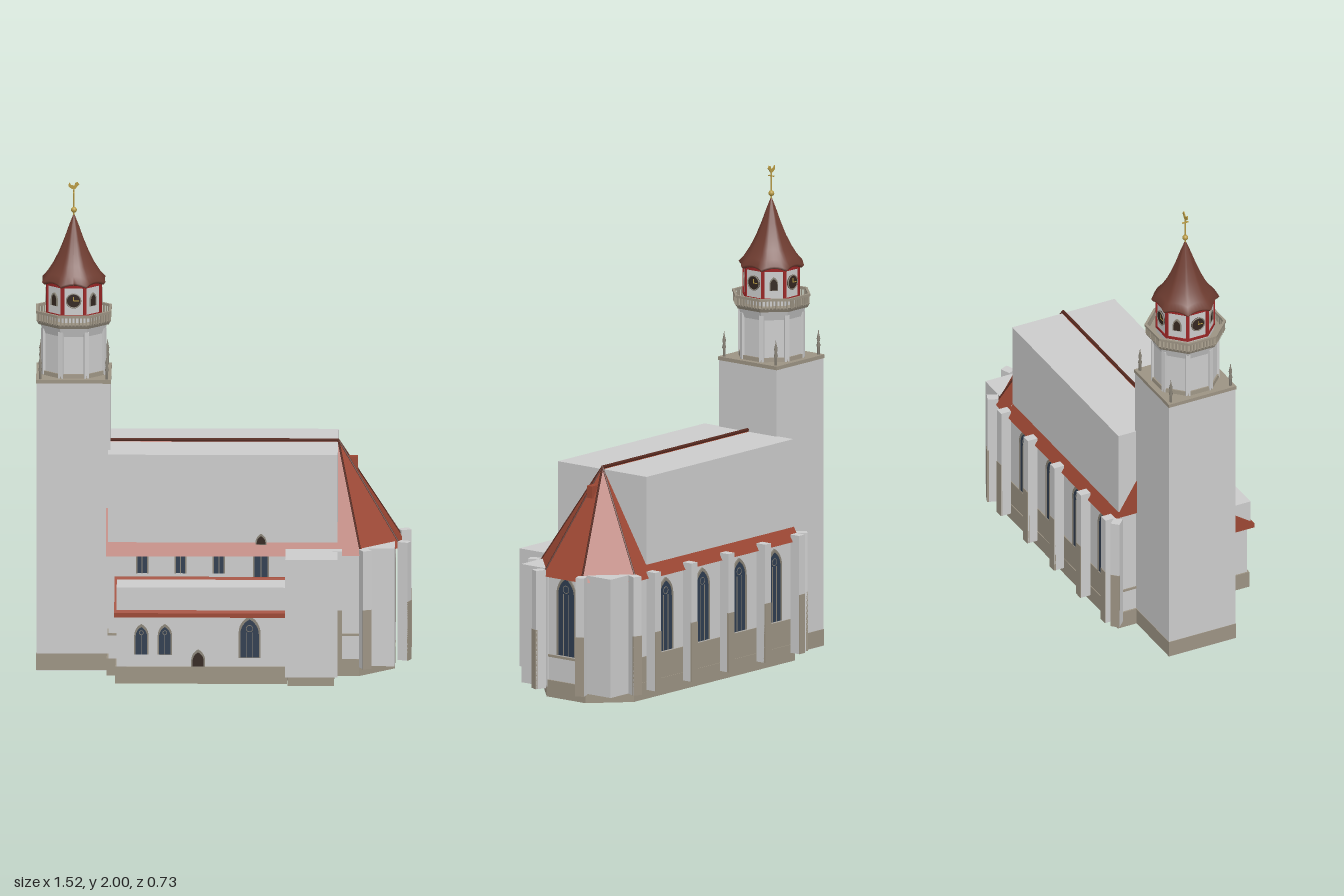
import * as THREE from 'three';

const mat = (color, flat = false) => new THREE.MeshStandardMaterial({ color, flatShading: flat, side: THREE.DoubleSide });
const M = {
  wall: mat(0xcccccc, true), stone: mat(0x9c9383, true), tile: mat(0x9c4733, true), spire: mat(0x6e3c30),
  ridge: mat(0x57291f), glass: mat(0x2f3d50), red: mat(0x9c2626), gold: mat(0xb89b45), dark: mat(0x33261f), timber: mat(0x8a8478),
};
const ZC = -0.07;              // church axis
const TX = -0.607;             // tower axis

function add(parent, name, geometry, material, x = 0, y = 0, z = 0) {
  const m = new THREE.Mesh(geometry, material);
  m.name = name;
  m.position.set(x, y, z);
  parent.add(m);
  return m;
}

// box given by its limits
function box(parent, name, material, x0, x1, y0, y1, z0, z1) {
  return add(parent, name, new THREE.BoxGeometry(x1 - x0, y1 - y0, z1 - z0), material,
    (x0 + x1) / 2, (y0 + y1) / 2, (z0 + z1) / 2);
}

// round bar between two points
function bar(parent, name, material, a, b, r) {
  const d = b.clone().sub(a);
  const m = add(parent, name, new THREE.CylinderGeometry(r, r, d.length(), 6), material);
  m.position.copy(a).addScaledVector(d, 0.5);
  m.quaternion.setFromUnitVectors(new THREE.Vector3(0, 1, 0), d.normalize());
}

// eight-sided prism with a flat side to the front; sizes are across-flats radii
function octagon(parent, name, material, top, bottom, y0, y1) {
  const k = 1 / Math.cos(Math.PI / 8);
  const g = new THREE.CylinderGeometry(top * k, bottom * k, y1 - y0, 8).rotateY(Math.PI / 8);
  add(parent, name, g, material, 0, (y0 + y1) / 2, 0);
}

// horizontal polygon of [x, z] points raised from y0 to y1
function prism(parent, name, material, pts, y0, y1) {
  const s = new THREE.Shape(pts.map(([x, z]) => new THREE.Vector2(x, -z)));
  const g = new THREE.ExtrudeGeometry(s, { depth: y1 - y0, bevelEnabled: false }).rotateX(-Math.PI / 2);
  add(parent, name, g, material, 0, y0, 0);
}

// profile of [z, y] points drawn out along x
function along(parent, name, material, pts, x0, x1) {
  const s = new THREE.Shape(pts.map(([z, y]) => new THREE.Vector2(-z, y)));
  const g = new THREE.ExtrudeGeometry(s, { depth: x1 - x0, bevelEnabled: false }).rotateY(Math.PI / 2);
  add(parent, name, g, material, x0, 0, 0);
}

function arch(w, h, Type = THREE.Shape) {
  const s = new Type(), r = w / 2, spring = h - w * 0.85;
  s.moveTo(-r, 0);
  s.lineTo(r, 0);
  s.lineTo(r, spring);
  s.quadraticCurveTo(r, h - w * 0.3, 0, h);
  s.quadraticCurveTo(-r, h - w * 0.3, -r, spring);
  s.closePath();
  return s;
}

// pointed opening with frame and tracery, facing +z before turning
function gothic(parent, name, x, y, z, w, h, turn, { fill = M.glass, lights = 1 } = {}) {
  const g = new THREE.Group();
  g.name = name;
  add(g, 'pane', new THREE.ShapeGeometry(arch(w, h)), fill, 0, 0, 0.003);
  const t = Math.min(0.007, w * 0.13);
  const outer = arch(w + 2 * t, h + 2 * t);
  outer.holes.push(arch(w, h, THREE.Path));
  add(g, 'surround', new THREE.ExtrudeGeometry(outer, { depth: 0.006, bevelEnabled: false, curveSegments: 6 }), M.timber);
  for (let i = 1; i < lights; i++) {
    const mx = -w / 2 + w * i / lights;
    box(g, 'mullion', M.timber, mx - 0.001, mx + 0.001, 0, h - w * 0.75, 0.002, 0.006);
  }
  if (lights > 1) add(g, 'tracery', new THREE.TorusGeometry(w * 0.18, 0.0015, 4, 14), M.timber, 0, h - w * 0.52, 0.005);
  g.position.set(x, y, z);
  g.rotation.y = turn;
  parent.add(g);
}

// pier whose stone-faced foot points along the turned +z
function buttress(parent, x, z, turn) {
  const g = new THREE.Group();
  g.name = 'buttress';
  box(g, 'buttressShaft', M.wall, -0.0185, 0.0185, 0.04, 0.53, -0.023, 0.022);
  box(g, 'buttressFoot', M.stone, -0.0185, 0.0185, 0.04, 0.285, 0.015, 0.024);
  g.position.set(x, 0, z);
  g.rotation.y = turn;
  parent.add(g);
}

// curved eight-sided spire with slightly drooping eave corners
function spireGeometry() {
  const prof = [[0, 1.585], [0.118, 1.592], [0.126, 1.603], [0.105, 1.627], [0.081, 1.665], [0.059, 1.71], [0.038, 1.763], [0.02, 1.815], [0.003, 1.86]];
  const g = new THREE.LatheGeometry(prof.map(([r, y]) => new THREE.Vector2(r, y)), 48);
  const p = g.attributes.position;
  const step = Math.PI / 4;
  for (let i = 0; i < p.count; i++) {
    const x = p.getX(i), y = p.getY(i), z = p.getZ(i);
    const a = Math.atan2(x, z);
    const k = 1 / Math.cos(a - step * Math.round(a / step)) ** 1.2;
    p.setXYZ(i, x * k, y - Math.hypot(x, z) * (k - 1), z * k);
  }
  g.computeVertexNormals();
  return g;
}

function buildTower() {
  const t = new THREE.Group();
  t.name = 'tower';
  t.position.set(TX, 0, ZC);
  box(t, 'towerPlinth', M.stone, -0.151, 0.151, 0.002, 0.07, -0.153, 0.153);
  box(t, 'towerShaft', M.wall, -0.149, 0.149, 0, 1.195, -0.151, 0.151);
  box(t, 'towerCornice', M.stone, -0.152, 0.152, 1.193, 1.208, -0.154, 0.154);
  octagon(t, 'belfry', M.wall, 0.122, 0.122, 1.2, 1.42);
  octagon(t, 'belfryBase', M.stone, 0.128, 0.13, 1.2, 1.225);
  octagon(t, 'belfryCornice', M.wall, 0.135, 0.122, 1.38, 1.42);
  octagon(t, 'galleryFloor', M.stone, 0.151, 0.142, 1.418, 1.435);
  octagon(t, 'lantern', M.wall, 0.108, 0.108, 1.43, 1.6);
  octagon(t, 'lanternSill', M.red, 0.111, 0.111, 1.455, 1.467);
  octagon(t, 'lanternHead', M.red, 0.112, 0.112, 1.578, 1.592);

  for (let i = 0; i < 8; i++) {
    const side = new THREE.Group();
    side.name = 'octagonSide';
    side.rotation.y = i * Math.PI / 4;
    t.add(side);
    // gallery railing
    box(side, 'handrail', M.stone, -0.064, 0.064, 1.464, 1.474, 0.143, 0.153);
    for (let k = -3.5; k < 4; k++) {
      box(side, 'baluster', M.stone, k * 0.0148 - 0.003, k * 0.0148 + 0.003, 1.43, 1.466, 0.145, 0.151);
    }
    // clocks on the straight sides, small windows on the slanted ones
    if (i % 2 === 0) {
      add(side, 'clockFace', new THREE.CylinderGeometry(0.03, 0.03, 0.006, 24).rotateX(Math.PI / 2), M.dark, 0, 1.527, 0.11);
      add(side, 'clockRim', new THREE.TorusGeometry(0.029, 0.0025, 6, 24), M.timber, 0, 1.527, 0.113);
      box(side, 'hourHand', M.gold, -0.0015, 0.0015, 1.527, 1.544, 0.113, 0.115);
      box(side, 'minuteHand', M.gold, 0, 0.022, 1.5255, 1.5285, 0.113, 0.115);
    } else {
      gothic(side, 'lanternWindow', 0, 1.5, 0.108, 0.028, 0.048, 0, { fill: M.dark });
    }
    // corner posts
    const post = new THREE.Group();
    post.rotation.y = Math.PI / 8;
    post.name = 'octagonCorner';
    side.add(post);
    box(post, 'redPost', M.red, -0.007, 0.007, 1.46, 1.59, 0.108, 0.12);
    box(post, 'pilaster', M.wall, -0.01, 0.01, 1.2, 1.4, 0.122, 0.139);
  }

  // corner pinnacles
  for (const sx of [-1, 1]) for (const sz of [-1, 1]) {
    const p = [[0, 0], [0.006, 0], [0.006, 0.035], [0.009, 0.04], [0.005, 0.055], [0.008, 0.07], [0.003, 0.09], [0, 0.11]];
    add(t, 'pinnacle', new THREE.LatheGeometry(p.map(([r, y]) => new THREE.Vector2(r, y)), 6), M.timber, sx * 0.135, 1.205, sz * 0.136);
  }

  // spire and finial
  add(t, 'spire', spireGeometry(), M.spire);
  add(t, 'finialPole', new THREE.CylinderGeometry(0.003, 0.004, 0.12, 6), M.gold, 0, 1.91, 0);
  add(t, 'finialBall', new THREE.SphereGeometry(0.012, 14, 10), M.gold, 0, 1.88, 0);
  box(t, 'vaneBar', M.gold, -0.003, 0.003, 1.95, 1.954, -0.014, 0.014);
  const vane = new THREE.Shape([[-0.02, 0.028], [-0.022, 0.012], [-0.008, 0], [0.006, 0], [0.014, 0.012], [0.022, 0.02],
    [0.014, 0.03], [0.006, 0.026], [0.002, 0.015], [-0.01, 0.016]].map(([x, y]) => new THREE.Vector2(x, y)));
  add(t, 'weatherVane', new THREE.ExtrudeGeometry(vane, { depth: 0.004, bevelEnabled: false }), M.gold, 0, 1.966, -0.002);
  return t;
}

function buildNave() {
  const n = new THREE.Group();
  n.name = 'nave';
  const outline = (d) => [[-0.465 - d, -0.301 - d], [0.55, -0.301 - d], [0.687 + d, -0.165 - d], [0.687 + d, 0.025 + d],
    [0.55, 0.163 + d], [-0.465 - d, 0.163 + d]];
  prism(n, 'walls', M.wall, outline(0), 0.04, 0.535);
  prism(n, 'plinth', M.stone, outline(0.007), 0, 0.07);
  prism(n, 'sillBand', M.stone, outline(0.004), 0.165, 0.175);
  box(n, 'northBase', M.stone, -0.46, 0.54, 0.07, 0.17, -0.305, -0.29);

  // main roof with rising soffits
  along(n, 'roof', M.tile, [[ZC - 0.26, 0.5], [ZC - 0.231, 0.53], [ZC + 0.233, 0.53], [ZC + 0.258, 0.5], [ZC, 0.925]], -0.475, 0.463);
  box(n, 'roofBody', M.wall, -0.467, 0.463, 0.553, 0.917, -0.302, 0.164);
  bar(n, 'ridge', M.ridge, new THREE.Vector3(-0.468, 0.925, ZC), new THREE.Vector3(0.463, 0.925, ZC), 0.007);

  // hipped roof of the apse
  const apex = new THREE.Vector3(0.463, 0.928, ZC);
  const mid = new THREE.Vector3(0.463, 0.72, ZC);
  const eave = [[0.463, -0.33], [0.56, -0.33], [0.721, -0.172], [0.721, 0.033], [0.56, 0.187], [0.463, 0.187]]
    .map(([x, z]) => new THREE.Vector3(x, 0.503, z));
  const pos = [];
  for (let i = 0; i < 5; i++) {
    for (const v of [apex, eave[i + 1], eave[i], mid, eave[i], eave[i + 1]]) pos.push(v.x, v.y, v.z);
    if (i > 0) bar(n, 'hip', M.ridge, apex, eave[i], 0.004);
  }
  const hip = new THREE.BufferGeometry();
  hip.setAttribute('position', new THREE.Float32BufferAttribute(pos, 3));
  hip.computeVertexNormals();
  add(n, 'apseRoof', hip, M.tile);
  box(n, 'apseDormer', M.tile, 0.503, 0.543, 0.81, 0.86, ZC - 0.012, ZC + 0.016);

  // slanted bays of the apse
  for (const s of [-1, 1]) {
    const a = ZC + s * 0.097, b = ZC + s * 0.235;
    box(n, 'apseBay', M.wall, 0.54, 0.694, 0.04, 0.53, Math.min(a, b), Math.max(a, b));
    buttress(n, 0.732, ZC + s * 0.112, Math.PI * (0.5 - s * 0.125));
    buttress(n, 0.575, ZC + s * 0.264, Math.PI * (0.5 - s * 0.375));
  }
  gothic(n, 'eastWindow', 0.689, 0.18, ZC, 0.085, 0.32, Math.PI / 2, { lights: 3 });

  // north side
  for (const x of [-0.449, -0.234, -0.002, 0.231, 0.463]) buttress(n, x, -0.34, Math.PI);
  buttress(n, -0.494, -0.324, -Math.PI * 0.75);
  for (const x of [-0.342, -0.118, 0.115, 0.347]) gothic(n, 'northWindow', x, 0.18, -0.302, 0.08, 0.29, Math.PI, { lights: 3 });
  buttress(n, 0.462, 0.2, 0);

  // upper south windows, hoist opening and roof hatch
  for (const [x, w, y0] of [[-0.328, 0.022, 0.425], [-0.173, 0.022, 0.425], [-0.018, 0.022, 0.425], [0.153, 0.03, 0.41]]) {
    box(n, 'upperWindow', M.glass, x - w, x + w, y0, 0.5, 0.16, 0.166);
    box(n, 'upperMullion', M.timber, x - 0.002, x + 0.002, y0, 0.5, 0.164, 0.169);
    for (const s of [-1, 1]) box(n, 'upperJamb', M.timber, x + s * w - 0.003, x + s * w + 0.003, y0, 0.5, 0.16, 0.169);
  }
  gothic(n, 'roofHatch', 0.153, 0.545, 0.163, 0.035, 0.036, 0, { fill: M.dark });
  return n;
}

function buildSouthAisle() {
  const a = new THREE.Group();
  a.name = 'southAisle';
  box(a, 'aisleWall', M.wall, -0.43, 0.26, 0.07, 0.29, 0.16, 0.305);
  box(a, 'aislePlinth', M.stone, -0.436, 0.26, 0, 0.07, 0.16, 0.312);
  along(a, 'aisleRoof', M.tile, [[0.16, 0.28], [0.334, 0.28], [0.334, 0.298], [0.17, 0.41], [0.16, 0.41]], -0.44, 0.255);
  box(a, 'aisleRoofBody', M.wall, -0.43, 0.255, 0.298, 0.402, 0.163, 0.32);
  for (const x of [-0.33, -0.235]) gothic(a, 'aisleWindow', x, 0.12, 0.305, 0.046, 0.115, 0, { lights: 2 });
  gothic(a, 'aisleLargeWindow', 0.108, 0.108, 0.305, 0.075, 0.16, 0, { lights: 3 });
  gothic(a, 'aisleDoor', -0.1, 0.072, 0.312, 0.045, 0.06, 0, { fill: M.dark });
  // annex beside the choir
  box(a, 'annex', M.wall, 0.253, 0.464, 0.04, 0.528, 0.16, 0.366);
  box(a, 'annexPlinth', M.stone, 0.262, 0.45, 0, 0.04, 0.16, 0.35);
  return a;
}

export function createModel() {
  const church = new THREE.Group();
  church.name = 'church';
  church.add(buildTower(), buildNave(), buildSouthAisle());
  return church;
}
